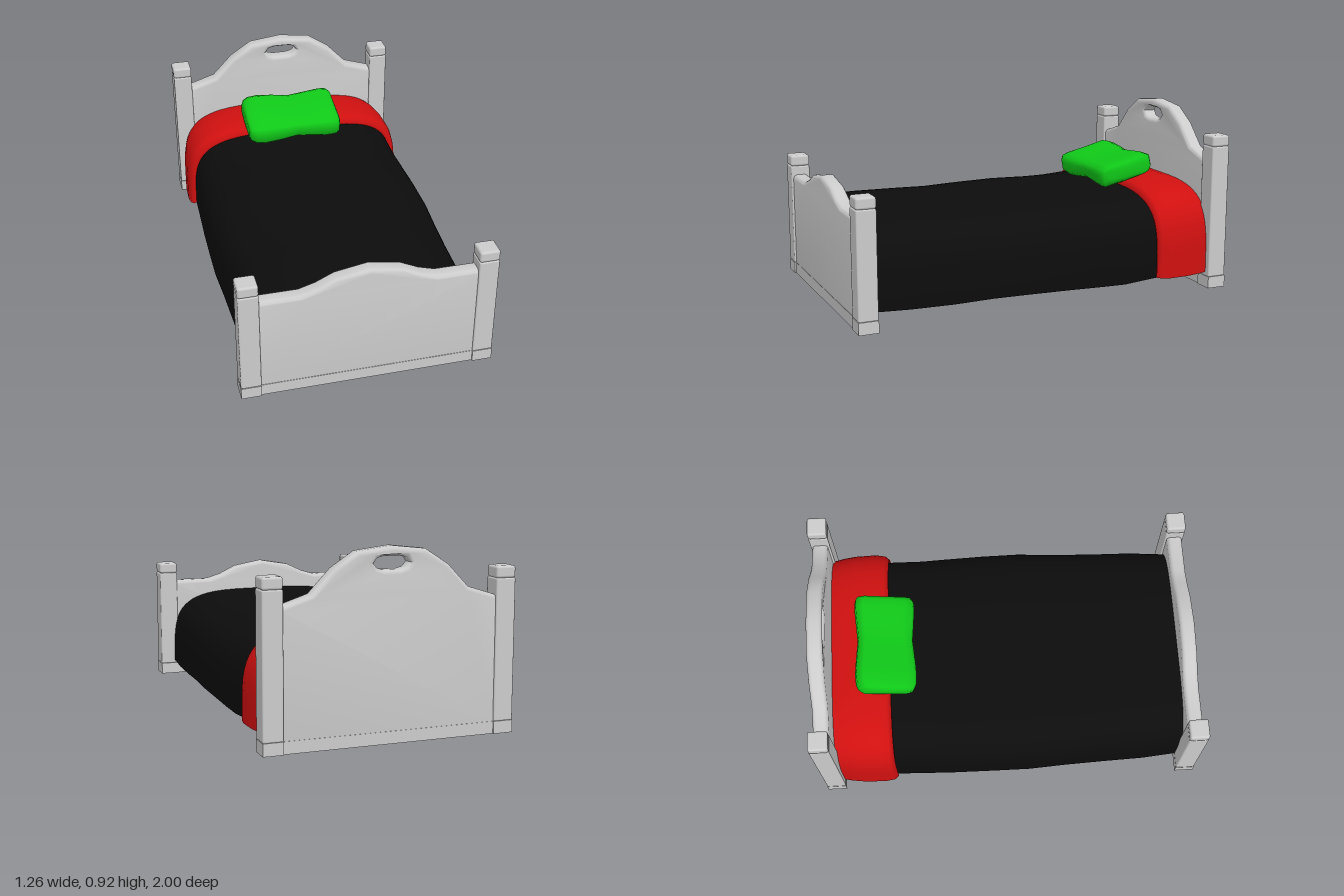
import * as THREE from 'three';
import { toCreasedNormals } from 'three/addons/utils/BufferGeometryUtils.js';
import { RoundedBoxGeometry } from 'three/addons/geometries/RoundedBoxGeometry.js';

const mat = (color, side = THREE.FrontSide) => new THREE.MeshStandardMaterial({ color, side });
const wood = mat(0xcccccc);
const black = mat(0x0c0c0c, THREE.DoubleSide);
const red = mat(0xd01010, THREE.DoubleSide);
const green = mat(0x10c818, THREE.DoubleSide);

function add(parent, name, geometry, material, x = 0, y = 0, z = 0) {
  const mesh = new THREE.Mesh(geometry, material);
  mesh.name = name;
  mesh.position.set(x, y, z);
  parent.add(mesh);
  return mesh;
}

// Smooth skin through rows of points; closed joins each row into a ring
function loft(rows, closed) {
  const n = rows[0].length, index = [];
  for (let r = 0; r < rows.length - 1; r++) {
    for (let i = 0; i < (closed ? n : n - 1); i++) {
      const j = (i + 1) % n;
      const a = r * n + i, b = r * n + j, c = a + n, d = b + n;
      index.push(a, b, c, b, d, c);
    }
  }
  const g = new THREE.BufferGeometry();
  g.setAttribute('position', new THREE.Float32BufferAttribute(rows.flat(2), 3));
  g.setIndex(index);
  g.computeVertexNormals();
  return g;
}

// Draped cover: arched cross-sections given as [z, half width, top, bottom]
function drape(sections) {
  const steps = 32;
  const power = v => Math.sign(v) * Math.abs(v) ** 0.5;
  return loft(sections.map(([z, w, top, bottom]) =>
    Array.from({ length: steps + 1 }, (_, i) => {
      const t = Math.PI * (1 - i / steps);
      return [w * power(Math.cos(t)), bottom + (top - bottom) * power(Math.max(0, Math.sin(t))), z];
    })), false);
}

// Square post: hollow foot, shaft and cap
function makePost(height, x, z) {
  const post = new THREE.Group();
  post.name = 'post';
  const square = (T, h) => new T([[-h, -h], [h, -h], [h, h], [-h, h]].map(p => new THREE.Vector2(...p)));
  const ring = square(THREE.Shape, 0.05);
  ring.holes.push(square(THREE.Path, 0.035));
  const foot = new THREE.ExtrudeGeometry(ring, { depth: 0.061, bevelEnabled: false });
  foot.rotateX(-Math.PI / 2);
  add(post, 'postFoot', foot, wood);
  const shaftTop = height - 0.057;
  add(post, 'postShaft', new RoundedBoxGeometry(0.1, shaftTop - 0.06, 0.1, 2, 0.008), wood, 0, (shaftTop + 0.06) / 2);
  add(post, 'postCap', new RoundedBoxGeometry(0.1, 0.058, 0.1, 2, 0.012), wood, 0, height - 0.029);
  post.position.set(x, 0, z);
  return post;
}

// Board with a shaped top, given as half profile from the edge to the middle
function makeBoard(name, z, postHeight, half, hole) {
  const board = new THREE.Group();
  board.name = name;
  const mirrored = half.slice(0, -1).reverse().map(([x, y]) => [-x, y]);
  const outline = [[-0.56, 0.03], [0.56, 0.03], [0.56, half[0][1]], ...half, ...mirrored, [-0.56, half[0][1]]];
  const shape = new THREE.Shape(outline.map(p => new THREE.Vector2(...p)));
  if (hole) shape.holes.push(new THREE.Path(hole.map(p => new THREE.Vector2(...p))));
  const bevel = 0.022, depth = 0.08;
  const g = new THREE.ExtrudeGeometry(shape, {
    depth: depth - 2 * bevel, bevelThickness: bevel, bevelSize: bevel, bevelOffset: -bevel, bevelSegments: 4,
  });
  g.translate(0, 0, bevel - depth / 2);
  add(board, 'panel', toCreasedNormals(g, 0.75), wood);
  add(board, 'bottomRail', new THREE.BoxGeometry(1.06, 0.06, 0.084), wood, 0, 0.03);
  for (const side of [-1, 1]) board.add(makePost(postHeight, side * 0.578, 0));
  board.position.z = z;
  return board;
}

export function createModel() {
  const bed = new THREE.Group();
  bed.name = 'bed';

  bed.add(makeBoard('footboard', 0.95, 0.65,
    [[0.53, 0.546], [0.33, 0.546], [0.25, 0.57], [0.16, 0.613], [0, 0.641]]));
  bed.add(makeBoard('headboard', -0.95, 0.805,
    [[0.53, 0.67], [0.39, 0.715], [0.285, 0.825], [0.17, 0.9], [0, 0.92]],
    [[-0.09, 0.842], [-0.072, 0.865], [-0.04, 0.873], [0.04, 0.873], [0.072, 0.865], [0.09, 0.842],
      [0.072, 0.82], [0.04, 0.811], [-0.04, 0.811], [-0.072, 0.82]]));

  // Blanket, open underneath
  add(bed, 'blanket', drape([
    [0.92, 0.548, 0.48, 0.078], [0.72, 0.565, 0.486, 0.074], [0.5, 0.572, 0.482, 0.073],
    [0.3, 0.582, 0.476, 0.08], [0.1, 0.594, 0.481, 0.081], [-0.1, 0.592, 0.486, 0.076],
    [-0.3, 0.588, 0.481, 0.069], [-0.43, 0.583, 0.483, 0.065], [-0.6, 0.58, 0.495, 0.078],
    [-0.92, 0.575, 0.49, 0.085],
  ]), black);

  // Folded sheet at the head end
  add(bed, 'foldedSheet', drape([
    [-0.618, 0.575, 0.485, 0.085], [-0.608, 0.594, 0.508, 0.083], [-0.63, 0.611, 0.53, 0.08],
    [-0.68, 0.618, 0.541, 0.078], [-0.79, 0.614, 0.545, 0.078], [-0.86, 0.605, 0.538, 0.08],
    [-0.92, 0.592, 0.525, 0.084],
  ]), red);

  // Tilted pillow, pinched in the middle; ring points are [z, y] from its centre
  const ring = [[-0.148, 0.075], [-0.11, 0.088], [0, 0.058], [0.11, 0.03], [0.147, 0.012], [0.155, -0.02],
    [0.145, -0.07], [0.12, -0.088], [0, -0.062], [-0.12, -0.03], [-0.15, -0.012], [-0.16, 0.02]];
  const cuts = [[-0.275, 0], [-0.275, 0.55], [-0.262, 0.8], [-0.235, 0.95], [-0.18, 1], [-0.1, 0.93],
    [0, 0.8], [0.1, 0.9], [0.18, 0.98], [0.22, 0.95], [0.238, 0.8], [0.245, 0.5], [0.245, 0]];
  add(bed, 'pillow', loft(cuts.map(([x, s]) =>
    ring.map(([z, y]) => [x, y * s, z * (s ? 0.5 + 0.5 * s : 0)])), true), green, 0, 0.58, -0.622);

  return bed;
}
